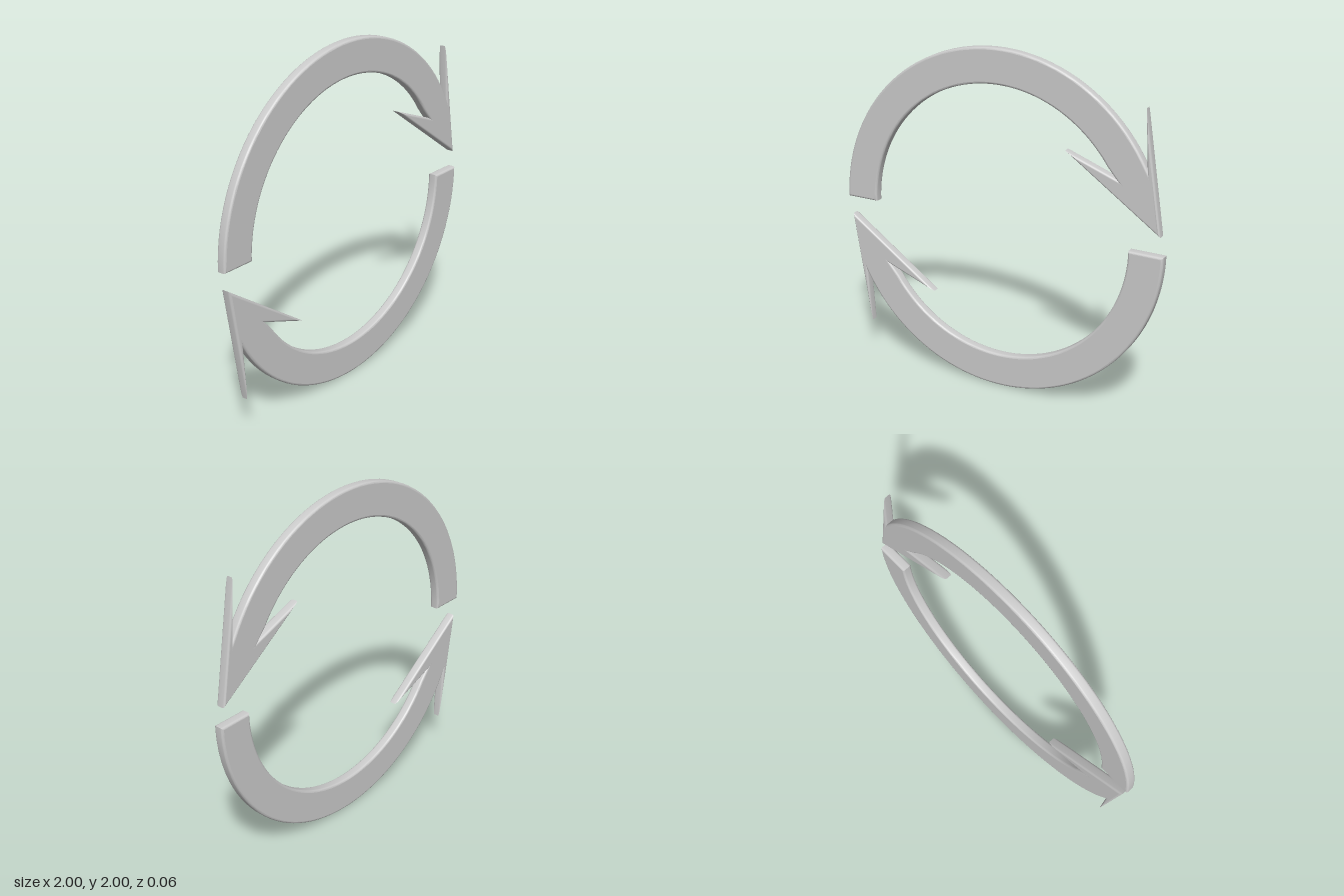
import * as THREE from 'three';
import { mergeGeometries, toCreasedNormals } from 'three/addons/utils/BufferGeometryUtils.js';

const HALF = 0.029;   // half thickness
const BEVEL = 0.013;  // rounded edge radius
const STEPS = 5;      // rings per rounded edge
const DEG = Math.PI / 180;

// points along an arc around the ring centre
function arc(radius, from, to, count) {
  return Array.from({ length: count + 1 }, (_, i) => {
    const a = (from + (to - from) * i / count) * DEG;
    return new THREE.Vector2(radius * Math.cos(a), radius * Math.sin(a));
  });
}

// counter-clockwise outline of one curved arrow
function arrowOutline() {
  const head = [[0.717, 0.385], [0.417, 0.497], [0.976, 0.107], [0.867, 0.787]];
  return [
    ...arc(0.8, 180, 34, 48),
    ...head.map(([x, y]) => new THREE.Vector2(x, y)),
    ...arc(1, 27.4, 180, 48),
  ];
}

// exact mitred inward direction at each corner
function inwardMiters(points) {
  const n = points.length;
  const normals = points.map((p, i) => {
    const d = points[(i + 1) % n].clone().sub(p).normalize();
    return new THREE.Vector2(-d.y, d.x);
  });
  return normals.map((b, i) => {
    const a = normals[(i + n - 1) % n];
    return a.clone().add(b).divideScalar(1 + a.dot(b));
  });
}

// flat slab with rounded rims: stacked inset outlines plus two caps
function roundedSlab(points) {
  const miters = inwardMiters(points);
  const inset = (d) => points.map((p, i) => p.clone().addScaledVector(miters[i], d));

  const layers = [];
  for (let k = 0; k <= STEPS; k++) {
    const a = (k / STEPS) * Math.PI / 2;
    layers.push([BEVEL * (1 - Math.sin(a)), HALF - BEVEL + BEVEL * Math.cos(a)]);
  }
  const rings = [
    ...layers.map(([d, z]) => [d, -z]),
    ...layers.slice().reverse(),
  ];

  // rim
  const n = points.length;
  const pos = [];
  const index = [];
  rings.forEach(([d, z], k) => {
    inset(d).forEach((p) => pos.push(p.x, p.y, z));
    if (k === 0) return;
    for (let i = 0; i < n; i++) {
      const j = (i + 1) % n;
      const lo = (k - 1) * n;
      const hi = k * n;
      index.push(lo + i, lo + j, hi + j, lo + i, hi + j, hi + i);
    }
  });
  const rim = new THREE.BufferGeometry();
  rim.setAttribute('position', new THREE.Float32BufferAttribute(pos, 3));
  rim.setIndex(index);

  // front and back faces
  const front = new THREE.ShapeGeometry(new THREE.Shape(inset(BEVEL))).toNonIndexed();
  front.deleteAttribute('uv');
  const back = front.clone().rotateY(Math.PI).scale(-1, 1, 1);
  // mirroring flips the winding, so swap two corners of every triangle
  const bp = back.attributes.position;
  for (let t = 0; t < bp.count; t += 3) {
    const p = new THREE.Vector3().fromBufferAttribute(bp, t);
    const q = new THREE.Vector3().fromBufferAttribute(bp, t + 1);
    bp.setXYZ(t, q.x, q.y, q.z);
    bp.setXYZ(t + 1, p.x, p.y, p.z);
  }
  back.computeVertexNormals();
  front.translate(0, 0, HALF);
  back.translate(0, 0, -HALF);

  return mergeGeometries([toCreasedNormals(rim, 0.6), front, back]);
}

export function createModel() {
  const group = new THREE.Group();
  group.name = 'circularArrows';
  const material = new THREE.MeshStandardMaterial({ color: 0xcccccc });
  const geometry = roundedSlab(arrowOutline());

  // the lower arrow is the upper one turned half way round
  ['upperArrow', 'lowerArrow'].forEach((name, i) => {
    const arrow = new THREE.Mesh(geometry, material);
    arrow.name = name;
    arrow.position.y = 1;
    arrow.rotation.z = i * Math.PI;
    group.add(arrow);
  });
  return group;
}
